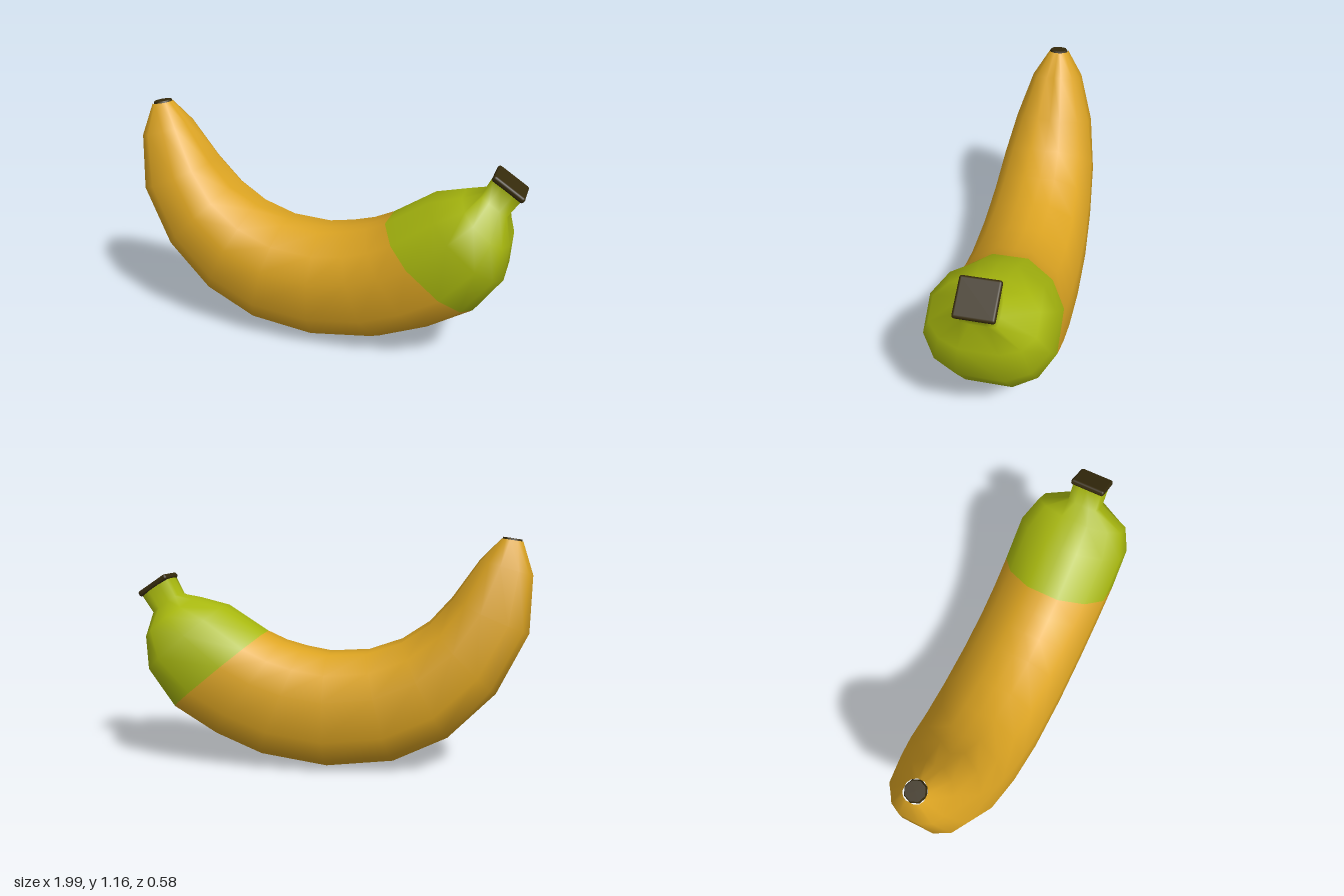
import * as THREE from 'three';
import { RoundedBoxGeometry } from 'three/addons/geometries/RoundedBoxGeometry.js';

const paint = (name, color) => {
  const m = new THREE.MeshStandardMaterial({ color });
  m.name = name;
  return m;
};

// Stations along the fruit: outer x, y, inner x, y, half width, inner groove depth
const STATIONS = [
  [-0.95, 1.14, -0.85, 1.155, 0.05, 0],
  [-1.0, 0.98, -0.75, 1.05, 0.13, 0.06],
  [-0.99, 0.7, -0.62, 0.86, 0.205, 0.16],
  [-0.84, 0.4, -0.51, 0.735, 0.25, 0.12],
  [-0.61, 0.17, -0.37, 0.64, 0.272, 0.04],
  [-0.34, 0.04, -0.2, 0.58, 0.285, 0],
  [0, 0, 0, 0.567, 0.29, 0],
  [0.34, 0.05, 0.13, 0.59, 0.29, 0],
  [0.58, 0.15, 0.24, 0.62, 0.29, 0],
  [0.8, 0.285, 0.34, 0.665, 0.29, 0],
  [0.93, 0.47, 0.55, 0.8, 0.285, 0],
  [0.94, 0.64, 0.7, 0.84, 0.235, 0],
  [0.915, 0.77, 0.79, 0.86, 0.085, 0],
  [0.975, 0.86, 0.835, 0.95, 0.085, 0],
];
const GREEN_FROM = 9;

// Half of the peel section (across, inward), mirrored to the other side
const HALF = [[0.3, 1], [0.75, 0.72], [1, 0.3], [1, -0.4], [0.76, -0.8], [0.38, -1]];
// Squarer section for the stem
const STEM = [[0.45, 1], [0.9, 0.95], [1, 0.4], [1, -0.4], [0.9, -0.95], [0.45, -1]];

function peelGeometry() {
  const pos = [], index = [];
  STATIONS.forEach(([ox, oy, ix, iy, width, groove], s) => {
    const half = s > 11 ? STEM : HALF;
    const ring = [[0, 1 - groove], ...half, ...half.map(([w, u]) => [-w, u]).reverse()];
    for (const [w, u] of ring) {
      const t = (u + 1) / 2;
      pos.push(ox + (ix - ox) * t, oy + (iy - oy) * t, w * width);
    }
  });
  const n = HALF.length * 2 + 1;
  for (let s = 0; s < STATIONS.length - 1; s++) {
    for (let j = 0; j < n; j++) {
      const a = s * n + j, b = s * n + (j + 1) % n;
      index.push(a, b, a + n, b, b + n, a + n);
    }
  }
  const g = new THREE.BufferGeometry();
  g.setAttribute('position', new THREE.Float32BufferAttribute(pos, 3));
  g.setIndex(index);
  g.computeVertexNormals();
  const split = GREEN_FROM * n * 6;
  g.addGroup(0, split, 0);
  g.addGroup(split, index.length - split, 1);
  return g;
}

export function createModel() {
  const yellow = paint('ripe yellow', 0xdca422);
  const green = paint('unripe green', 0xa8b80f);
  const dark = paint('dark brown', 0x352a0c);
  const group = new THREE.Group();
  group.name = 'banana';

  // Peel, ripe body and unripe stem end in one smooth skin
  const peel = new THREE.Mesh(peelGeometry(), [yellow, green]);
  peel.name = 'peel';

  // Dried blossom tip
  const tip = new THREE.Mesh(new THREE.CylinderGeometry(0.046, 0.052, 0.016, 8), dark);
  tip.name = 'blossomTip';
  tip.position.set(-0.9, 1.148, 0);
  tip.rotation.z = 0.15;

  // Cut end of the stem
  const cut = new THREE.Mesh(new RoundedBoxGeometry(0.178, 0.03, 0.18, 2, 0.012), dark);
  cut.name = 'stemCut';
  cut.position.set(0.909, 0.911, 0);
  cut.rotation.z = -0.588;

  group.add(peel, tip, cut);
  return group;
}
